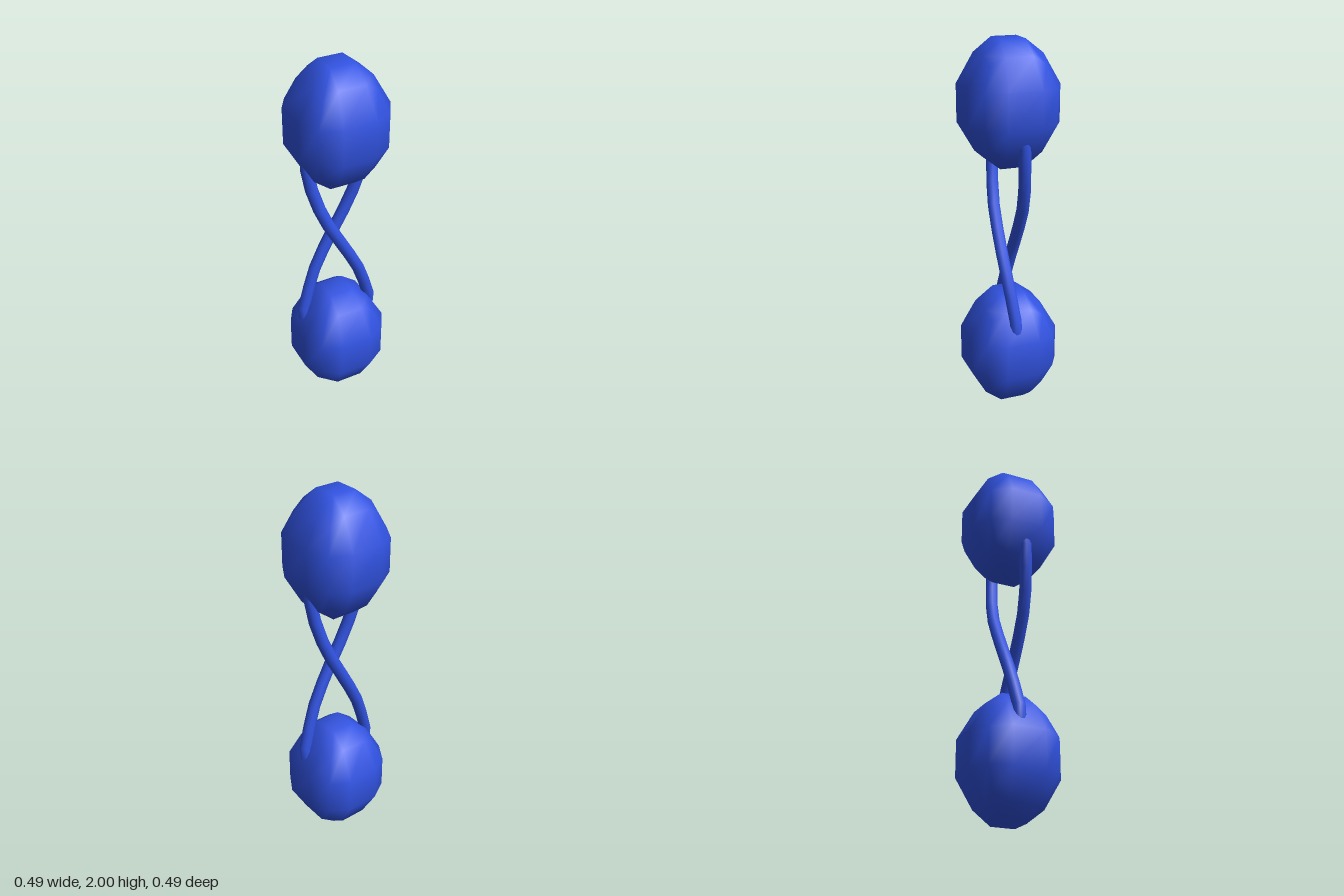
import * as THREE from 'three';
import { mergeVertices } from 'three/addons/utils/BufferGeometryUtils.js';

const blue = new THREE.MeshStandardMaterial({ color: 0x3153e2 });
blue.name = 'blue';

// Rounded ball: a 3x3x3 box whose points are moved by their kind (face, edge, corner)
function ballGeometry() {
  const box = new THREE.BoxGeometry(2, 2, 2, 3, 3, 3);
  box.deleteAttribute('normal');
  box.deleteAttribute('uv');
  const geo = mergeVertices(box, 1e-3);
  const pos = geo.attributes.position;
  const rules = {
    '100': [0.246, 0.098, 0.09], // side faces
    '001': [0.09, 0.098, 0.246],
    '010': [0.066, 0.325, 0.066], // top and bottom
    '101': [0.189, 0.09, 0.189], // upright edges
    '110': [0.159, 0.252, 0.073], // upper and lower edges
    '011': [0.073, 0.252, 0.159],
    '111': [0.144, 0.208, 0.144], // corners
  };
  for (let i = 0; i < pos.count; i++) {
    const p = [pos.getX(i), pos.getY(i), pos.getZ(i)];
    const kind = p.map((v) => (Math.abs(v) > 0.9 ? 1 : 0)).join('');
    const r = rules[kind];
    pos.setXYZ(i, ...p.map((v, k) => Math.sign(v) * r[k]));
  }
  geo.computeVertexNormals();
  return geo;
}

// Bent cord, its ends sunk into the balls
function cordGeometry() {
  const points = [
    [-0.16, 1.6, 0.015], [-0.177, 1.51, 0.02], [-0.153, 1.34, 0.033], [-0.09, 1.155, 0.052],
    [0, 0.985, 0.057], [0.106, 0.785, 0.05], [0.172, 0.6, 0.033], [0.195, 0.51, 0.026], [0.185, 0.42, 0.02],
  ].map((p) => new THREE.Vector3(...p));
  const curve = new THREE.CatmullRomCurve3(points);
  return new THREE.TubeGeometry(curve, 10, 0.033, 10);
}

export function createModel() {
  const model = new THREE.Group();
  model.name = 'twistedCordBalls';

  const ball = ballGeometry();
  for (const [name, y] of [['upperBall', 1.675], ['lowerBall', 0.325]]) {
    const mesh = new THREE.Mesh(ball, blue);
    mesh.name = name;
    mesh.position.y = y;
    model.add(mesh);
  }

  // Two crossing cords, one the half turn of the other
  const cord = cordGeometry();
  ['frontCord', 'backCord'].forEach((name, i) => {
    const mesh = new THREE.Mesh(cord, blue);
    mesh.name = name;
    mesh.rotation.y = i * Math.PI;
    model.add(mesh);
  });
  return model;
}
